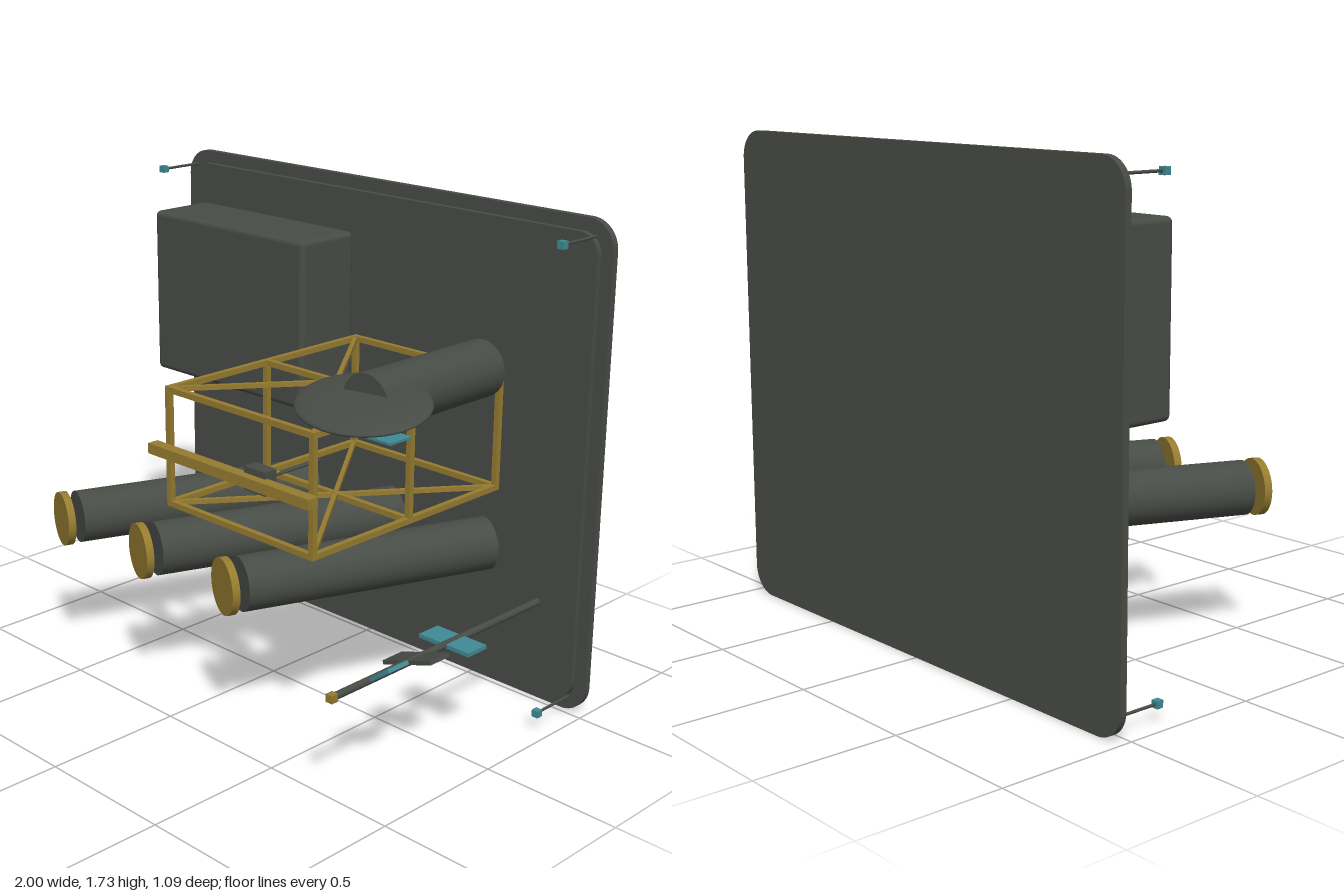
import * as THREE from 'three';
import { RoundedBoxGeometry } from 'three/addons/geometries/RoundedBoxGeometry.js';

const mat = (name, color) => {
  const m = new THREE.MeshStandardMaterial({ color });
  m.name = name;
  return m;
};

export function createModel() {
  const dark = mat('dark grey green', 0x484c46);
  const gold = mat('dull gold', 0x977c30);
  const teal = mat('teal', 0x3f8a94);
  const root = new THREE.Group();

  const add = (name, geo, material, x, y, z, parent = root) => {
    const m = new THREE.Mesh(geo, material);
    m.name = name;
    m.position.set(x, y, z);
    parent.add(m);
    return m;
  };
  const box = (name, w, h, d, material, x, y, z, parent) =>
    add(name, new THREE.BoxGeometry(w, h, d), material, x, y, z, parent);
  // cylinder lying along z
  const rod = (name, r, length, material, x, y, z, parent, sides = 32) =>
    add(name, new THREE.CylinderGeometry(r, r, length, sides).rotateX(Math.PI / 2), material, x, y, z, parent);
  // square bar between two points
  const bar = (name, a, b, t, parent) => {
    const p = new THREE.Vector3(...a), q = new THREE.Vector3(...b);
    const mid = p.clone().add(q).multiplyScalar(0.5);
    const m = box(name, t, t, p.distanceTo(q) + t * 0.9, gold, mid.x, mid.y, mid.z, parent);
    m.lookAt(q);
    return m;
  };
  const roundedPlate = (name, w, h, r, depth, z) => {
    const s = new THREE.Shape(), x = w / 2, y = h / 2;
    s.moveTo(-x + r, -y);
    s.lineTo(x - r, -y).absarc(x - r, -y + r, r, -Math.PI / 2, 0);
    s.absarc(x - r, y - r, r, 0, Math.PI / 2);
    s.absarc(-x + r, y - r, r, Math.PI / 2, Math.PI);
    s.absarc(-x + r, -y + r, r, Math.PI, Math.PI * 1.5);
    return add(name, new THREE.ExtrudeGeometry(s, { depth, bevelEnabled: false, curveSegments: 10 }), dark, 0, 0.867, z);
  };

  // back panel in two layers
  roundedPlate('backPanel', 2, 1.734, 0.1, 0.025, -0.547);
  roundedPlate('innerPanel', 1.91, 1.644, 0.07, 0.023, -0.523);

  // corner markers on thin posts
  for (const x of [-0.94, 0.94]) for (const y of [0.06, 1.68]) {
    rod('cornerPost', 0.005, 0.17, dark, x, y, -0.425, root, 12);
    box('cornerMarker', 0.025, 0.025, 0.025, teal, x, y, -0.333);
  }

  // equipment box
  add('equipmentBox', new RoundedBoxGeometry(0.79, 0.62, 0.265, 3, 0.02), dark, -0.495, 1.23, -0.37);

  // three slanted tubes with caps
  for (let i = 0; i < 3; i++) {
    const tube = new THREE.Group();
    tube.name = 'slantedTube';
    tube.position.set(-0.43 + i * 0.427, 0.55, -0.022);
    tube.rotation.y = -0.375;
    root.add(tube);
    rod('tubeBody', 0.094, 0.925, dark, 0, 0, 0, tube, 40);
    rod('tubeCap', 0.098, 0.027, gold, 0, 0, 0.51, tube, 40);
  }

  // open lattice frame
  const frame = new THREE.Group();
  frame.name = 'latticeFrame';
  root.add(frame);
  const [x0, x1, y0, y1, z0, z1] = [-0.07, 0.598, 0.75, 1.152, -0.488, 0.415];
  const zm = (z0 + z1) / 2, t = 0.02;
  for (const y of [y0, y1]) {
    for (const x of [x0, x1]) bar('sideRail', [x, y, z0], [x, y, z1], t, frame);
    for (const z of [z0, zm, z1]) bar('crossRail', [x0, y, z], [x1, y, z], t, frame);
    bar('diagonal', [x0, y, z0], [x1, y, z1], 0.016, frame);
    bar('diagonal', [x1, y, z0], [x0, y, z1], 0.016, frame);
  }
  for (const x of [x0, x1]) for (const z of [z0, zm, z1])
    box('upright', t, y1 - y0 + t, t, gold, x, (y0 + y1) / 2, z, frame);

  // front boom with its sensor
  box('frontBoom', 0.75, 0.036, 0.042, gold, 0.265, 0.95, 0.457);
  box('boomSensor', 0.095, 0.08, 0.052, dark, 0.37, 0.95, 0.421);
  rod('sensorRod', 0.005, 0.25, dark, 0.375, 0.95, 0.28, root, 12);

  // barrel with a tilted oval disc
  rod('barrel', 0.097, 0.56, dark, 0.663, 1.231, -0.025, root, 40);
  const disc = add('ovalDisc', new THREE.SphereGeometry(1, 48, 24), dark, 0.665, 1.235, 0.27);
  disc.scale.set(0.288, 0.028, 0.2);
  disc.rotation.set(0.16, -0.41, 0, 'YXZ');
  box('discPlate', 0.168, 0.008, 0.095, teal, 0.768, 1.167, 0.302);

  // long antenna with twisted paddles
  rod('antennaRod', 0.013, 1.01, dark, 0.8, 0.378, 0.012, root, 16);
  box('antennaTip', 0.027, 0.027, 0.028, gold, 0.8, 0.378, 0.533);
  [[teal, -0.04], [dark, 0.143], [teal, 0.324]].forEach(([m, z], i) => {
    box('antennaPaddle', 0.21, 0.014, 0.093, m, 0.8, 0.378, z).rotation.z = i * 0.32;
  });

  return root;
}
